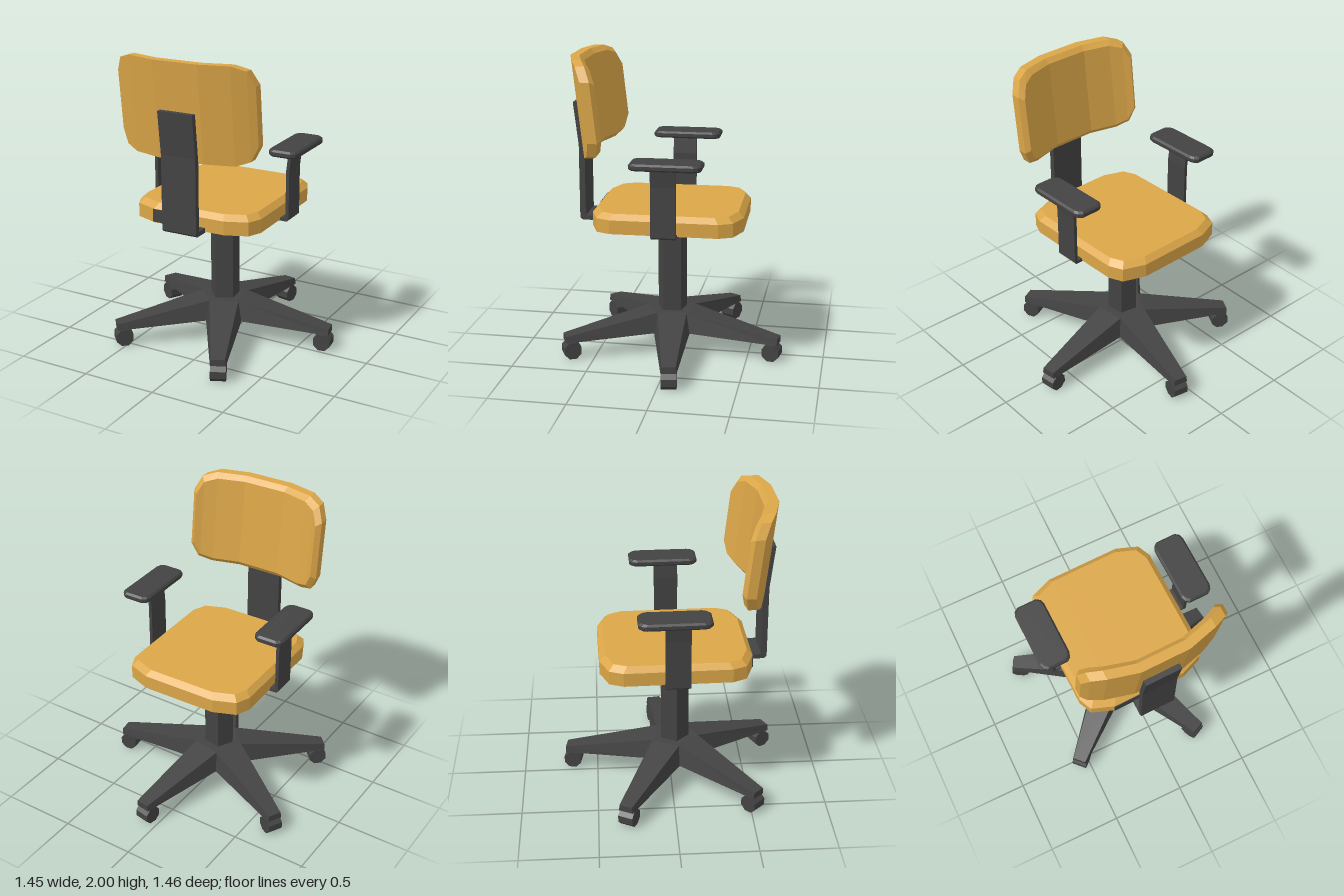
import * as THREE from 'three';

const mat = (name, color, side = THREE.FrontSide) => {
  const m = new THREE.MeshStandardMaterial({ color, side });
  m.name = name;
  m.flatShading = true;
  return m;
};

// Joins matching rings (first ring at +z) and closes both ends with strips.
function loft(rings) {
  const pos = [], n = rings[0].length;
  const quad = (a, b, c, d) => pos.push(...a, ...b, ...c, ...a, ...c, ...d);
  for (let r = 0; r < rings.length - 1; r++) {
    const p = rings[r], q = rings[r + 1];
    for (let i = 0; i < n; i++) {
      const j = (i + 1) % n;
      quad(p[i], p[j], q[j], q[i]);
    }
  }
  const f = rings[0], l = rings[rings.length - 1];
  for (let i = 0; i < n / 2 - 1; i++) {
    const c = n - 2 - i, d = n - 1 - i;
    quad(f[i], f[d], f[c], f[i + 1]);
    quad(l[i], l[i + 1], l[c], l[d]);
  }
  const g = new THREE.BufferGeometry();
  g.setAttribute('position', new THREE.Float32BufferAttribute(pos, 3));
  g.computeVertexNormals();
  return g;
}

// Symmetric outline from [x, y] corner points, listed from the side inwards.
function outline(corner) {
  const top = [...corner.map(([x, y]) => [-x, y]), ...[...corner].reverse()];
  return [...top, ...[...top].reverse().map(([x, y]) => [x, -y])];
}

// Flat cushion standing on y; steps are [height, inset].
function slab(corner, steps) {
  const [hw] = corner[0], hh = corner[corner.length - 1][1];
  return loft(steps.map(([y, inset]) =>
    outline(corner).map(([x, v]) => [x * (1 - inset / hw), v * (1 - inset / hh), y])))
    .rotateX(-Math.PI / 2);
}

function extrude(points, width) {
  const shape = new THREE.Shape(points.map(([x, y]) => new THREE.Vector2(x, y)));
  return new THREE.ExtrudeGeometry(shape, { depth: width, bevelEnabled: false })
    .translate(0, 0, -width / 2);
}

export function createModel() {
  const model = new THREE.Group();
  model.name = 'swivelChair';
  const mustard = mat('mustardFabric', 0xdba648);
  const charcoal = mat('charcoalPlastic', 0x434343);
  const add = (parent, name, geometry, material) => {
    const mesh = new THREE.Mesh(geometry, material);
    mesh.name = name;
    parent.add(mesh);
    return mesh;
  };

  const upper = new THREE.Group();
  upper.name = 'upperChair';
  upper.position.set(-0.035, 0, 0.03);
  upper.rotation.y = 0.022;
  model.add(upper);

  // Seat cushion with a bevelled top edge
  add(upper, 'seat', slab([[0.435, 0.345], [0.395, 0.435], [0.25, 0.49]],
    [[1.035, 0.035], [1.0, 0], [0.91, 0]]), mustard).position.z = -0.012;
  add(upper, 'seatBackPatch', new THREE.BoxGeometry(0.255, 0.085, 0.006), charcoal)
    .position.set(-0.1275, 0.957, 0.479);

  // Curved backrest, leaning away from the seat
  const backOutline = outline([[0.475, 0.19], [0.432, 0.282], [0.345, 0.3125], [0.155, 0.3125]]);
  const bend = x => {
    const a = Math.abs(x);
    return a < 0.2 ? 0 : a < 0.4 ? -0.05 : a < 0.45 ? -0.088 : -0.115;
  };
  add(upper, 'backrest', loft([[0, 1, 1], [0.06, 1, 1], [0.085, 0.935, 0.9]].map(([d, sx, sy]) =>
    backOutline.map(([x, v]) => {
      const y = 1.6875 + v * sy;
      return [x * sx, y, 0.625 + bend(x) - (2 - y) * 0.112 - d];
    }))), mustard);

  // Bent strap carrying the backrest
  add(upper, 'backSupport', extrude([
    [0.05, 0.905], [0.575, 0.905], [0.593, 0.92], [0.593, 1.41], [0.626, 1.69],
    [0.588, 1.69], [0.555, 1.41], [0.555, 0.935], [0.05, 0.935],
  ], 0.24).rotateY(-Math.PI / 2), charcoal);

  // Armrests and their bent supports
  for (const s of [-1, 1]) {
    const arm = new THREE.Group();
    arm.name = s > 0 ? 'leftArm' : 'rightArm';
    upper.add(arm);
    add(arm, 'armPad', slab([[0.1, 0.18], [0.09, 0.208], [0.065, 0.227]],
      [[1.405, 0.012], [1.393, 0], [1.372, 0], [1.362, 0.008]]), charcoal)
      .position.set(s * 0.492, 0, -0.042);
    add(arm, 'armSupport', extrude([
      [0.08, 0.903], [0.482, 0.903], [0.494, 0.915], [0.494, 1.24], [0.51, 1.37],
      [0.488, 1.37], [0.472, 1.24], [0.472, 0.923], [0.08, 0.923],
    ].map(([x, y]) => [s * x, y]), 0.16), charcoal).position.z = -0.02;
  }

  // Tapered plate under the seat
  add(upper, 'mountingPlate', new THREE.CylinderGeometry(0.42, 0.13, 0.046, 4)
    .rotateY(Math.PI / 4), charcoal).position.y = 0.888;

  // Five-sided column and five-legged base
  const base = new THREE.Group();
  base.name = 'base';
  base.position.set(-0.035, 0, 0.025);
  model.add(base);
  const step = Math.PI * 2 / 5, first = THREE.MathUtils.degToRad(98);
  const column = add(base, 'column', new THREE.CylinderGeometry(0.1, 0.1, 0.6, 5), charcoal);
  column.position.y = 0.58;
  const hub = add(base, 'hub', new THREE.CylinderGeometry(0.165, 0.2, 0.135, 5), charcoal);
  hub.position.y = 0.2175;
  column.rotation.y = hub.rotation.y = first + step / 2;

  const legGeometry = loft([
    [[-0.044, 0.158, 0.745], [0.044, 0.158, 0.745], [0.05, 0.115, 0.745], [-0.05, 0.115, 0.745]],
    [[-0.097, 0.285, 0.133], [0.097, 0.285, 0.133], [0.118, 0.15, 0.162], [-0.118, 0.15, 0.162]],
  ]);
  const wheelGeometry = new THREE.CylinderGeometry(0.061, 0.061, 0.1, 8)
    .rotateY(Math.PI / 8).rotateZ(Math.PI / 2);
  for (let i = 0; i < 5; i++) {
    const leg = new THREE.Group();
    leg.name = 'leg' + (i + 1);
    leg.rotation.y = first + i * step;
    base.add(leg);
    add(leg, 'legBeam', legGeometry, charcoal);
    add(leg, 'casterWheel', wheelGeometry, charcoal).position.set(0, 0.0565, 0.7);
    add(leg, 'casterStem', new THREE.BoxGeometry(0.05, 0.05, 0.05), charcoal)
      .position.set(0, 0.105, 0.7);
  }
  return model;
}
